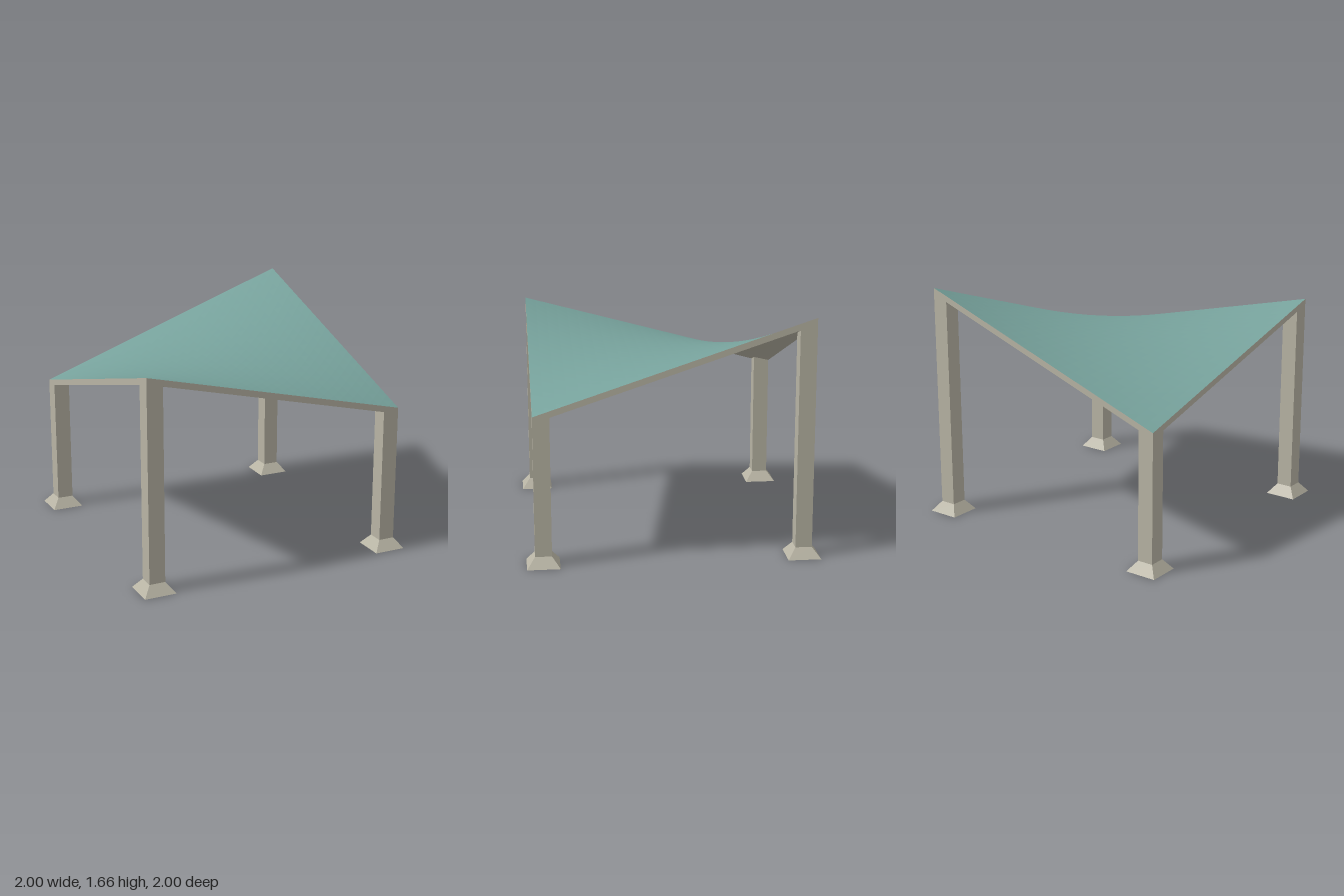
import * as THREE from 'three';

const HALF = 0.944;      // half width of the roof
const THICK = 0.044;     // roof thickness
const POST = 0.114;      // post width
const FOOT = 0.226;      // foot width at the ground
const FOOT_H = 0.072;
const CENTRE = HALF - POST / 2;

// Top height of the twisted roof, bilinear between its four corners
function roofHeight(x, z) {
  const u = (x + HALF) / (2 * HALF);
  const v = (z + HALF) / (2 * HALF);
  const back = THREE.MathUtils.lerp(0.985, 1.665, u);
  const front = THREE.MathUtils.lerp(1.495, 1.042, u);
  return THREE.MathUtils.lerp(back, front, v);
}

// Move every vertex by a rule, then give each face its own flat normal
function reshape(geometry, rule) {
  const flat = geometry.toNonIndexed();
  const pos = flat.attributes.position;
  const p = new THREE.Vector3();
  for (let i = 0; i < pos.count; i++) {
    p.fromBufferAttribute(pos, i);
    rule(p);
    pos.setXYZ(i, p.x, p.y, p.z);
  }
  flat.computeVertexNormals();
  return flat;
}

export function createModel() {
  const model = new THREE.Group();
  model.name = 'pavilion';

  const concrete = new THREE.MeshStandardMaterial({ color: 0xb8b4a4 });
  concrete.name = 'concrete';
  const teal = new THREE.MeshStandardMaterial({ color: 0x76a19b });
  teal.name = 'teal roofing';

  // Saddle-shaped roof slab, teal only on its top face
  const roof = new THREE.Mesh(
    reshape(new THREE.BoxGeometry(2 * HALF, THICK, 2 * HALF, 24, 1, 24), (p) => {
      p.y += roofHeight(p.x, p.z) - THICK / 2;
    }),
    [concrete, concrete, teal, concrete, concrete, concrete]
  );
  roof.name = 'roof';
  model.add(roof);

  // Four corner posts cut to the roof's underside, each on a tapered foot
  for (const [sx, side] of [[1, 'Left'], [-1, 'Right']]) {
    for (const [sz, end] of [[1, 'front'], [-1, 'back']]) {
      const cx = sx * CENTRE;
      const cz = sz * CENTRE;

      const post = new THREE.Mesh(
        reshape(new THREE.BoxGeometry(POST, 1, POST), (p) => {
          p.x += cx;
          p.z += cz;
          p.y = p.y > 0 ? roofHeight(p.x, p.z) - THICK : FOOT_H;
        }),
        concrete
      );
      post.name = `${end}${side}Post`;

      const foot = new THREE.Mesh(
        reshape(new THREE.BoxGeometry(FOOT, FOOT_H, FOOT), (p) => {
          const taper = p.y > 0 ? POST / FOOT : 1;
          p.set(p.x * taper + cx, p.y + FOOT_H / 2, p.z * taper + cz);
        }),
        concrete
      );
      foot.name = `${end}${side}Foot`;

      model.add(post, foot);
    }
  }
  return model;
}
